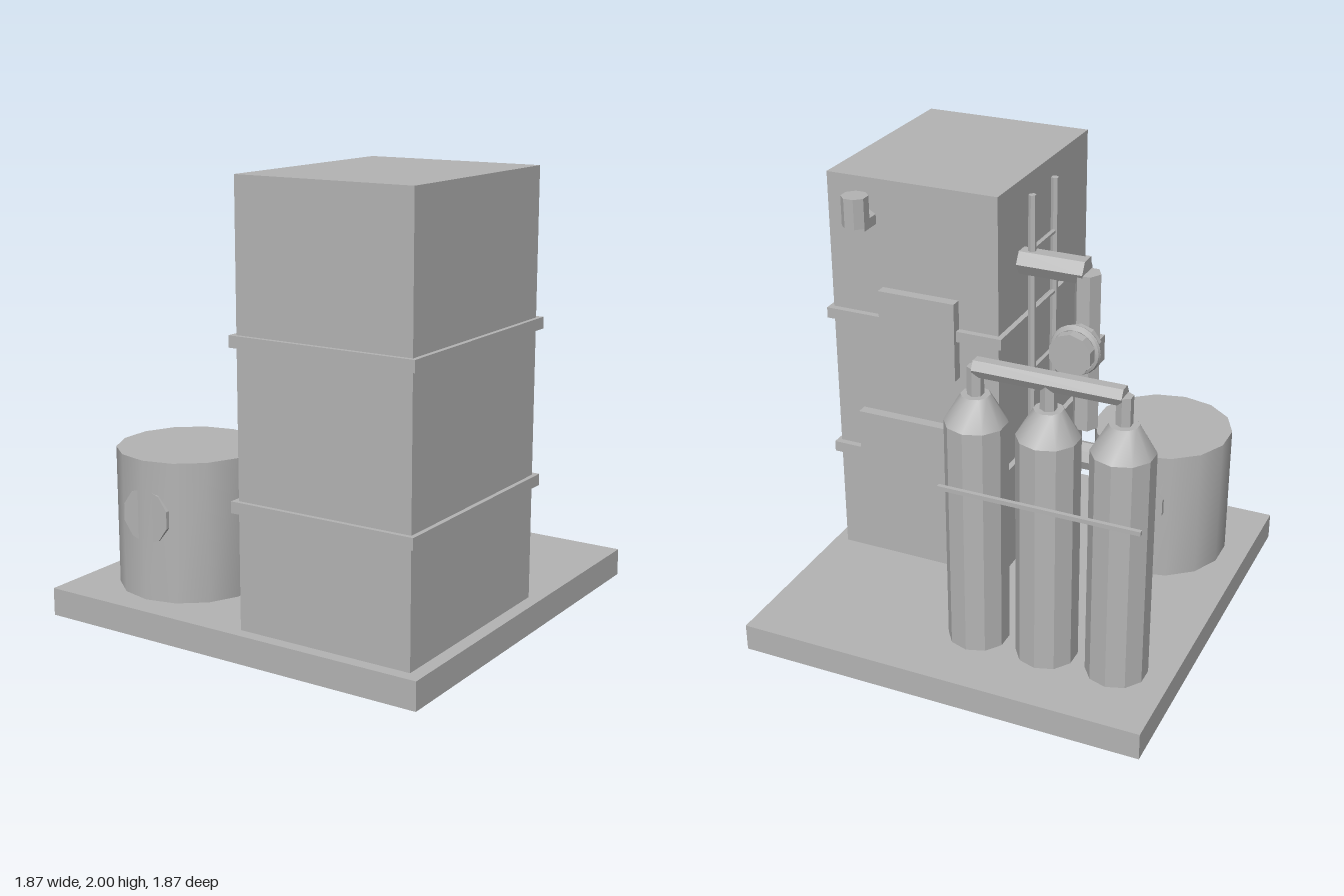
import * as THREE from 'three';
import { toCreasedNormals } from 'three/addons/utils/BufferGeometryUtils.js';

export function createModel() {
  const model = new THREE.Group();
  const grey = new THREE.MeshStandardMaterial({ color: 0xb4b4b4 });
  grey.name = 'grey metal';

  function add(name, geometry) {
    const mesh = new THREE.Mesh(toCreasedNormals(geometry, 0.56), grey);
    mesh.name = name;
    model.add(mesh);
    return mesh;
  }
  // Box given by its limits on each axis
  function box(name, [x0, x1], [y0, y1], [z0, z1]) {
    const mesh = add(name, new THREE.BoxGeometry(x1 - x0, y1 - y0, z1 - z0));
    mesh.position.set((x0 + x1) / 2, (y0 + y1) / 2, (z0 + z1) / 2);
  }
  // Prism along an axis, centred on a point
  function prism(name, axis, radius, length, sides, centre, turn = 0, topRadius = radius) {
    const geometry = new THREE.CylinderGeometry(topRadius, radius, length, sides);
    geometry.rotateY(turn);
    if (axis === 'x') geometry.rotateZ(Math.PI / 2);
    if (axis === 'z') geometry.rotateX(Math.PI / 2);
    add(name, geometry).position.set(...centre);
  }

  box('base', [-0.935, 0.935], [0, 0.125], [-0.935, 0.935]);

  // Tower with bands and rear panels
  box('tower', [0.06, 0.875], [0.125, 2], [-0.12, 0.88]);
  for (const y of [0.63, 1.315]) box('towerBand', [0.035, 0.895], [y, y + 0.05], [-0.15, 0.9]);
  box('lowerPanel', [0.125, 0.745], [0.38, 0.88], [-0.17, -0.12]);
  box('upperPanel', [0.25, 0.62], [1.13, 1.5], [-0.17, -0.12]);

  // Rear vent on a short arm
  prism('ventArm', 'z', 0.045, 0.11, 6, [0.68, 1.815, -0.168]);
  prism('vent', 'y', 0.06, 0.135, 8, [0.68, 1.885, -0.227], Math.PI / 8);

  // Round tank with hatches front and back, and its link to the tower
  prism('tank', 'y', 0.322, 0.625, 14, [-0.5, 0.4375, 0.497]);
  prism('tankHatches', 'z', 0.123, 0.63, 10, [-0.5, 0.5, 0.495]);
  prism('tankPipe', 'x', 0.069, 0.27, 8, [-0.04, 0.503, 0.497]);

  // Side pipe with collar and valve
  prism('upperPipe', 'x', 0.061, 0.33, 6, [-0.085, 1.63, 0.124]);
  prism('downPipe', 'y', 0.061, 0.745, 6, [-0.254, 1.2525, 0.124], Math.PI / 6);
  box('pipeCollar', [-0.315, -0.193], [1.195, 1.315], [0.063, 0.185]);
  prism('valveBody', 'z', 0.1, 0.13, 10, [-0.252, 1.31, -0.005]);
  add('valveWheel', new THREE.TorusGeometry(0.1, 0.018, 8, 20)).position.set(-0.252, 1.31, -0.003);

  // Ladder on the tower side
  for (const z of [0.122, 0.37]) prism('ladderRail', 'y', 0.018, 1.815, 6, [0.008, 1.0325, z]);
  for (let i = 0; i < 6; i++) prism('ladderRung', 'z', 0.012, 0.25, 6, [0.008, 1.69 - i * 0.29, 0.246]);

  // Row of gas cylinders with a shared manifold
  for (const x of [-0.69, -0.365, -0.04]) {
    prism('gasCylinder', 'y', 0.136, 1.065, 10, [x, 0.6575, -0.562]);
    prism('cylinderShoulder', 'y', 0.136, 0.125, 10, [x, 1.2525, -0.562], 0, 0.063);
    prism('cylinderNeck', 'y', 0.036, 0.13, 6, [x, 1.375, -0.562]);
  }
  prism('manifold', 'x', 0.043, 0.65, 6, [-0.365, 1.438, -0.562]);
  box('restraintRail', [-0.835, 0.06], [0.927, 0.946], [-0.735, -0.716]);

  return model;
}
